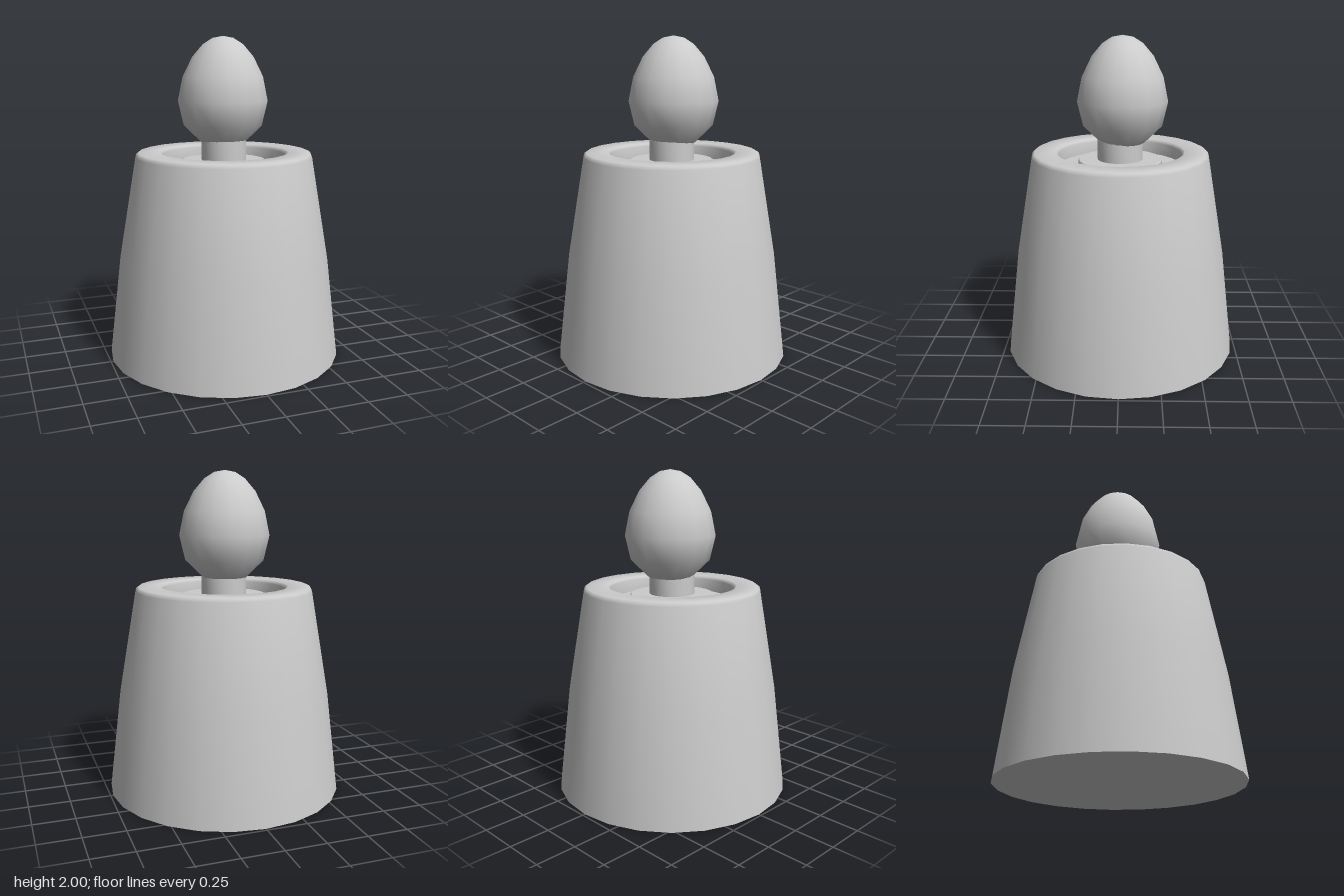
import * as THREE from 'three';
import { toCreasedNormals } from 'three/addons/utils/BufferGeometryUtils.js';

const material = new THREE.MeshStandardMaterial({ color: 0xcccccc });

// Turned part from [radius, height] pairs, listed from the bottom upwards
function turned(name, profile, segments, crease, phase = 0) {
  const points = profile.map(([r, y]) => new THREE.Vector2(r, y));
  const geometry = toCreasedNormals(new THREE.LatheGeometry(points, segments, phase), crease);
  const mesh = new THREE.Mesh(geometry, material);
  mesh.name = name;
  return mesh;
}

export function createModel() {
  const model = new THREE.Group();
  model.name = 'taperedPotWithKnob';

  // Tapered body with a softened rim and a shallow round recess on top
  model.add(turned('body', [
    [0, 0], [0.735, 0], [0.66, 0.63], [0.55, 1.27], [0.544, 1.287], [0.532, 1.295],
    [0.402, 1.295], [0.391, 1.288], [0.386, 1.275], [0.386, 1.2], [0, 1.2],
  ], 24, 0.7));

  // Round flange lying in the recess
  model.add(turned('flange', [
    [0, 1.19], [0.26, 1.19], [0.26, 1.24], [0.255, 1.245], [0, 1.245],
  ], 24, 0.7));

  // Short neck
  model.add(turned('neck', [[0, 1.23], [0.14, 1.23], [0.14, 1.37], [0, 1.37]], 24, 0.7));

  // Egg-shaped knob, set slightly back
  const knob = turned('knob', [
    [0, 1.345], [0.135, 1.352], [0.245, 1.46], [0.28, 1.61], [0.25, 1.755],
    [0.19, 1.875], [0.125, 1.95], [0.065, 1.988], [0, 2],
  ], 16, 1.0, Math.PI / 16);
  knob.position.z = -0.015;
  model.add(knob);

  return model;
}
